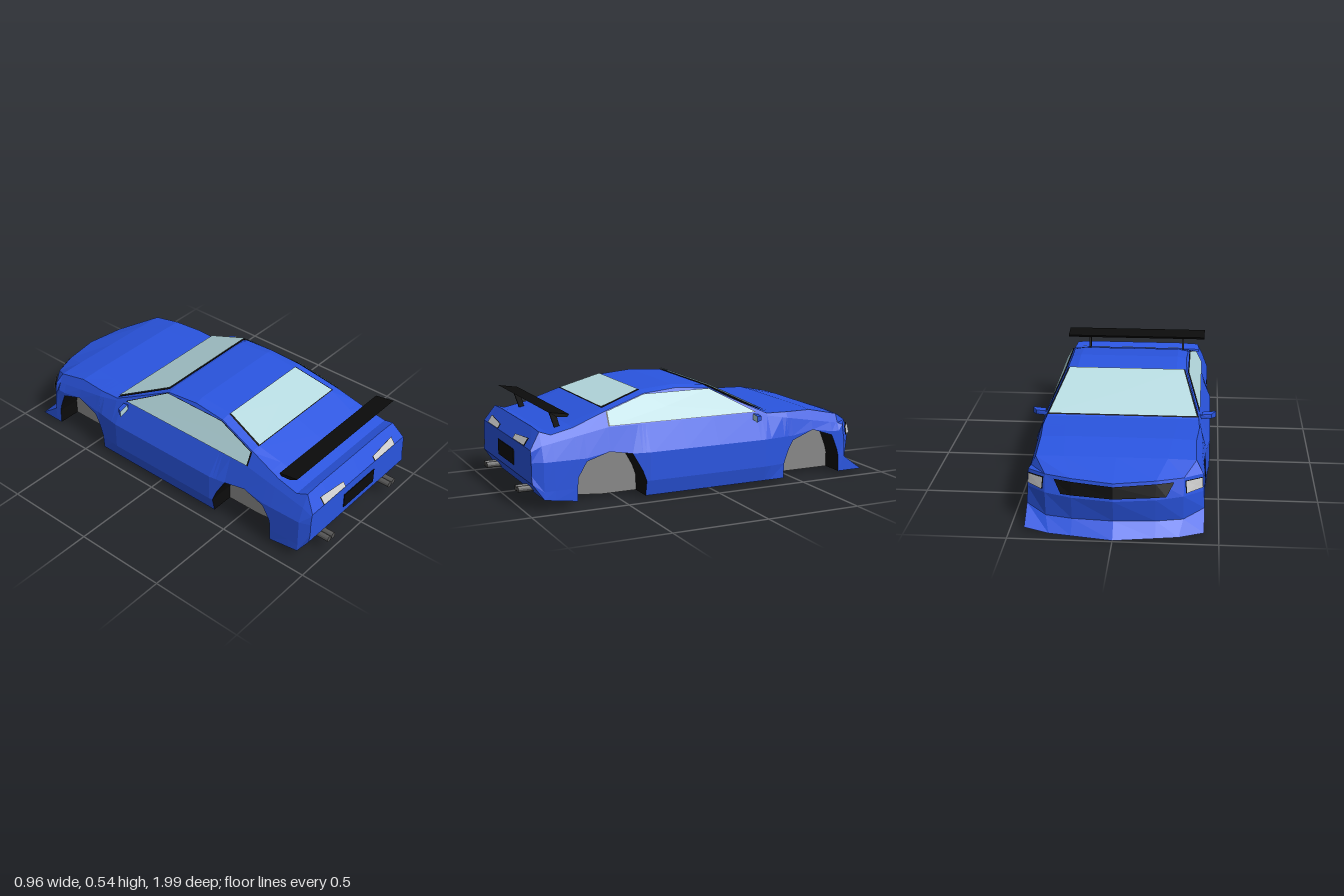
import * as THREE from 'three';

const paint = (color) => new THREE.MeshStandardMaterial({ color, flatShading: true, side: THREE.DoubleSide });
const BLUE = paint(0x2a55e0), BLACK = paint(0x0c0c0c), GLASS = paint(0xb6dae0);
const LAMP = paint(0xcccccc), GREY = paint(0x888888), PIPE = paint(0x555555);
const lerp = THREE.MathUtils.lerp;
const flip = ([x, y, z]) => [-x, y, z];
const both = (half) => [...half, ...half.slice(0, -1).reverse().map(flip)]; // half row ends on the centre line

// Flat-sided mesh spanning rows of points
function grid(name, rows, material) {
  const pos = [], V = (p) => new THREE.Vector3(...p);
  const tri = (a, b, c) => {
    if (V(b).sub(V(a)).cross(V(c).sub(V(a))).length() > 1e-8) pos.push(...a, ...b, ...c);
  };
  for (let i = 0; i + 1 < rows.length; i++) {
    for (let j = 0; j + 1 < rows[i].length; j++) {
      const a = rows[i][j], b = rows[i + 1][j], c = rows[i + 1][j + 1], d = rows[i][j + 1];
      tri(a, b, c);
      tri(a, c, d);
    }
  }
  const g = new THREE.BufferGeometry();
  g.setAttribute('position', new THREE.Float32BufferAttribute(pos, 3));
  g.computeVertexNormals();
  const m = new THREE.Mesh(g, material);
  m.name = name;
  return m;
}

// Convex panel with a slightly larger black surround underneath
function panel(name, pts, off, material, grow = 1.05) {
  const group = new THREE.Group();
  group.name = name;
  const mid = [0, 1, 2].map((k) => pts.reduce((s, p) => s + p[k], 0) / pts.length);
  const layer = (n, s, o, mat) => {
    const ring = pts.map((p) => p.map((v, k) => mid[k] + (v - mid[k]) * s + off[k] * o));
    ring.push(ring[0]);
    const hub = mid.map((v, k) => v + off[k] * o);
    group.add(grid(n, [ring, ring.map(() => hub)], mat));
  };
  layer(name + 'Trim', grow, 0.5, BLACK);
  layer(name + 'Face', 1, 1, material);
  return group;
}

// Body guide lines along the length: (z, value), tail to nose
const SILL_Y = [[0.965, 0.14], [0.91, 0.06], [0.74, 0.035], [0.56, 0.02]];
const WAIST_X = [[0.965, 0.405], [0.91, 0.428], [0.45, 0.435], [0.36, 0.45], [-0.3, 0.45], [-0.45, 0.43], [-0.765, 0.428]];
const BELT_X = [[0.91, 0.4], [0.56, 0.39], [-0.27, 0.39], [-0.45, 0.41]];
const BELT_Y = [[0.965, 0.295], [0.91, 0.32], [0.56, 0.38], [-0.27, 0.38], [-0.335, 0.36], [-0.765, 0.285]];
const TOP_X = [[0.965, 0.25], [0.56, 0.305], [0.34, 0.265], [-0.02, 0.265], [-0.27, 0.3], [-0.765, 0.25]];
const TOP_Y = [[0.965, 0.305], [0.91, 0.39], [0.855, 0.37], [0.74, 0.395], [0.56, 0.46], [0.34, 0.53],
  [0.16, 0.545], [-0.02, 0.53], [-0.27, 0.403], [-0.335, 0.373], [-0.6, 0.371], [-0.765, 0.335]];
// Wheel arch outlines (z, y), rear axle then front axle
const ARCHES = [
  [[0.74, 0.1], [0.735, 0.155], [0.69, 0.23], [0.57, 0.265], [0.45, 0.245], [0.4, 0.155], [0.38, 0.1]],
  [[-0.42, 0.1], [-0.445, 0.165], [-0.475, 0.22], [-0.6, 0.265], [-0.72, 0.225], [-0.755, 0.14], [-0.765, 0.1]],
];
const WELL_X = 0.305;

// Value of a guide line at z
function at(line, z) {
  const i = line.findIndex((p) => p[0] <= z);
  if (i < 0) return line.at(-1)[1];
  if (i === 0) return line[0][1];
  const [a, b] = [line[i - 1], line[i]];
  return lerp(a[1], b[1], (a[0] - z) / (a[0] - b[0]));
}
// Half section at z: sill, lower side, waist, belt, upper edge, top, centre
function section(z) {
  const sy = at(SILL_Y, z), w = at(WAIST_X, z), bx = at(BELT_X, z), by = at(BELT_Y, z), ty = at(TOP_Y, z);
  const rise = 0.93 * (ty - by);
  return [[Math.min(0.43, w + 0.01), sy], [w, Math.max(0.1, sy + 0.04)], [w, 0.245], [bx, by],
    [bx - rise / 2, by + rise], [at(TOP_X, z), ty], [0, ty]].map(([x, y]) => [x, y, z]);
}
// Trim the lower end of a half section at height y
function cut(half, y) {
  const k = half.findIndex((p) => p[1] >= y), a = half[k - 1], b = half[k];
  const x = lerp(a[0], b[0], (y - a[1]) / (b[1] - a[1]));
  return half.map((p, i) => (i < k ? [x, y, p[2]] : p));
}

export function createModel() {
  const car = new THREE.Group();
  car.name = 'car';
  const add = (...m) => car.add(...m);

  // Body shell, floor and wheel wells
  const shell = [], floor = [], wells = ARCHES.map(() => []);
  const lines = [SILL_Y, WAIST_X, BELT_X, BELT_Y, TOP_X, TOP_Y, ...ARCHES];
  const zs = [...new Set(lines.flat().map((p) => p[0]))].sort((a, b) => b - a);
  for (const z of zs) {
    const full = section(z), n = ARCHES.findIndex((a) => z <= a[0][0] && z >= a.at(-1)[0]);
    const [x, y] = full[0];
    const plain = () => { shell.push(both(full)); floor.push([[-x, y, z], [x, y, z]]); };
    if (n < 0) { plain(); continue; }
    const arch = ARCHES[n], open = cut(full, at(arch, z));
    if (z === arch[0][0]) { plain(); wells[n].push([full[0], y]); }
    shell.push(both(open));
    floor.push([[-WELL_X, y, z], [WELL_X, y, z]]);
    wells[n].push([open[0], y]);
    if (z === arch.at(-1)[0]) { plain(); wells[n].push([full[0], y]); }
  }
  // Nose: bonnet lip, grille foot, bumper and splitter, outer edge to centre
  const sill = [0.43, 0.02, -0.8], low = [0.43, 0.1, -0.8], waist = [0.425, 0.19, -0.8];
  const lip = [[0.42, 0.275, -0.79], [0.33, 0.28, -0.86], [0.2, 0.28, -0.905], [0, 0.275, -0.94]];
  const foot = [waist, [0.33, 0.195, -0.885], [0.2, 0.19, -0.925], [0, 0.19, -0.957]];
  const bumper = [low, [0.33, 0.07, -0.87], [0.2, 0.07, -0.9], [0, 0.075, -0.925]];
  const splitter = [[0.43, 0.02, -0.91], [0.31, 0.005, -0.935], [0.2, 0.005, -0.955], [0, 0.005, -0.99]];
  shell.push(both([sill, low, waist, ...lip]));
  floor.push([flip(sill), sill]);
  const tail = section(0.965);
  add(grid('bodyShell', shell, BLUE), grid('floor', floor, BLUE));
  add(grid('tailPanel', [tail, tail.map(flip)], BLUE));
  add(grid('frontFascia', [lip, foot, bumper, splitter].map(both), BLUE));
  const back = splitter.map((p) => [p[0], 0.02, -0.8]);
  add(grid('splitterUnderside', [both(back).reverse(), both(splitter).reverse()], BLUE));

  // Grille between the headlights
  add(grid('grille', [
    both([[0.285, 0.268, -0.886], [0.2, 0.268, -0.916], [0, 0.262, -0.95]]),
    both([[0.25, 0.205, -0.918], [0.2, 0.205, -0.931], [0, 0.205, -0.962]]),
  ], BLACK));

  // Windscreen and rear window
  add(panel('windscreen', [[0.305, 0.526, -0.025], [-0.305, 0.526, -0.025], [-0.382, 0.376, -0.325], [0.382, 0.376, -0.325]],
    [0, 0.012, -0.006], GLASS, 1.02));
  add(panel('rearWindow', [[0.265, 0.527, 0.345], [-0.265, 0.527, 0.345], [-0.303, 0.46, 0.56], [0.303, 0.46, 0.56]],
    [0, 0.008, 0.003], GLASS, 1.03));

  // Number plate recess
  const plate = new THREE.Mesh(new THREE.BoxGeometry(0.26, 0.08, 0.006), BLACK);
  plate.name = 'plateRecess';
  plate.position.set(0, 0.215, 0.966);
  add(plate);

  // Rear wing blade
  const blade = new THREE.Shape([[0.875, 0.485], [0.77, 0.468], [0.78, 0.455], [0.835, 0.46]].map(([z, y]) => new THREE.Vector2(-z, y)));
  const wing = new THREE.Mesh(new THREE.ExtrudeGeometry(blade, { depth: 0.82, bevelEnabled: false }), BLACK);
  wing.name = 'rearWing';
  wing.rotation.y = Math.PI / 2;
  wing.position.x = -0.41;
  add(wing);

  // Paired parts
  for (const s of [1, -1]) {
    const side = s > 0 ? 'left' : 'right';
    const m = (pts) => pts.map(([x, y, z]) => [s * x, y, z]);
    wells.forEach((path, i) => {
      const axle = i ? 'Front' : 'Rear';
      add(grid(side + axle + 'ArchLiner', path.map(([p]) => m([[WELL_X, p[1], p[2]], p])), BLACK));
      add(grid(side + axle + 'WellWall', path.map(([p, y]) => m([[WELL_X, y, p[2]], [WELL_X, p[1], p[2]]])), GREY));
    });
    add(grid(side + 'SplitterSide', [m([low, low]), m([splitter[0], sill])], BLUE));
    add(panel(side + 'SideWindow', m([[0.388, 0.384, 0.555], [0.355, 0.45, 0.555], [0.323, 0.515, 0.34],
      [0.323, 0.515, -0.02], [0.388, 0.384, -0.26]]), [s * 0.008, 0.004, 0], GLASS, 1.02));
    add(panel(side + 'Headlight', m([[0.335, 0.268, -0.863], [0.412, 0.262, -0.802], [0.415, 0.215, -0.808],
      [0.34, 0.212, -0.875]]), [s * 0.006, 0, -0.008], LAMP));
    add(panel(side + 'TailLight', m([[0.13, 0.308, 0.964], [0.305, 0.308, 0.964], [0.305, 0.343, 0.94],
      [0.13, 0.33, 0.949]]), [0, 0.004, 0.006], LAMP));

    // Door mirror: tapered shell with glass facing the tail
    const face = [[0.405, 0.347, -0.245], [0.478, 0.347, -0.228], [0.478, 0.38, -0.228], [0.405, 0.38, -0.245]];
    const nose = [[0.405, 0.352, -0.275], [0.455, 0.352, -0.265], [0.455, 0.375, -0.265], [0.405, 0.375, -0.275]];
    const loop = (r) => m([...r, r[0]]);
    add(grid(side + 'MirrorShell', [loop(face), loop(nose), loop(nose.map(() => [0.43, 0.363, -0.272]))], BLUE));
    add(grid(side + 'MirrorGlass', [m([face[0], face[1]]), m([face[3], face[2]])], GLASS));
    const arm = new THREE.Mesh(new THREE.BoxGeometry(0.04, 0.014, 0.02), BLUE);
    arm.name = side + 'MirrorArm';
    arm.position.set(s * 0.395, 0.362, -0.26);
    add(arm);

    // Wing strut
    const strut = [[0.83, 0.462], [0.797, 0.462], [0.775, 0.38], [0.803, 0.38], [0.83, 0.462]];
    const ring = (x) => strut.map(([z, y]) => [s * x, y, z]);
    const hub = (x) => strut.map(() => [s * x, 0.42, 0.801]);
    add(grid(side + 'WingStrut', [hub(0.275), ring(0.275), ring(0.286), hub(0.286)], BLACK));

    // Twin exhaust pipes
    for (const x of [0.252, 0.286]) {
      const pipe = new THREE.Mesh(new THREE.CylinderGeometry(0.016, 0.016, 0.1, 12), PIPE);
      pipe.name = side + 'Exhaust';
      pipe.rotation.x = Math.PI / 2;
      pipe.position.set(s * x, 0.09, 0.95);
      add(pipe);
    }
  }
  return car;
}
